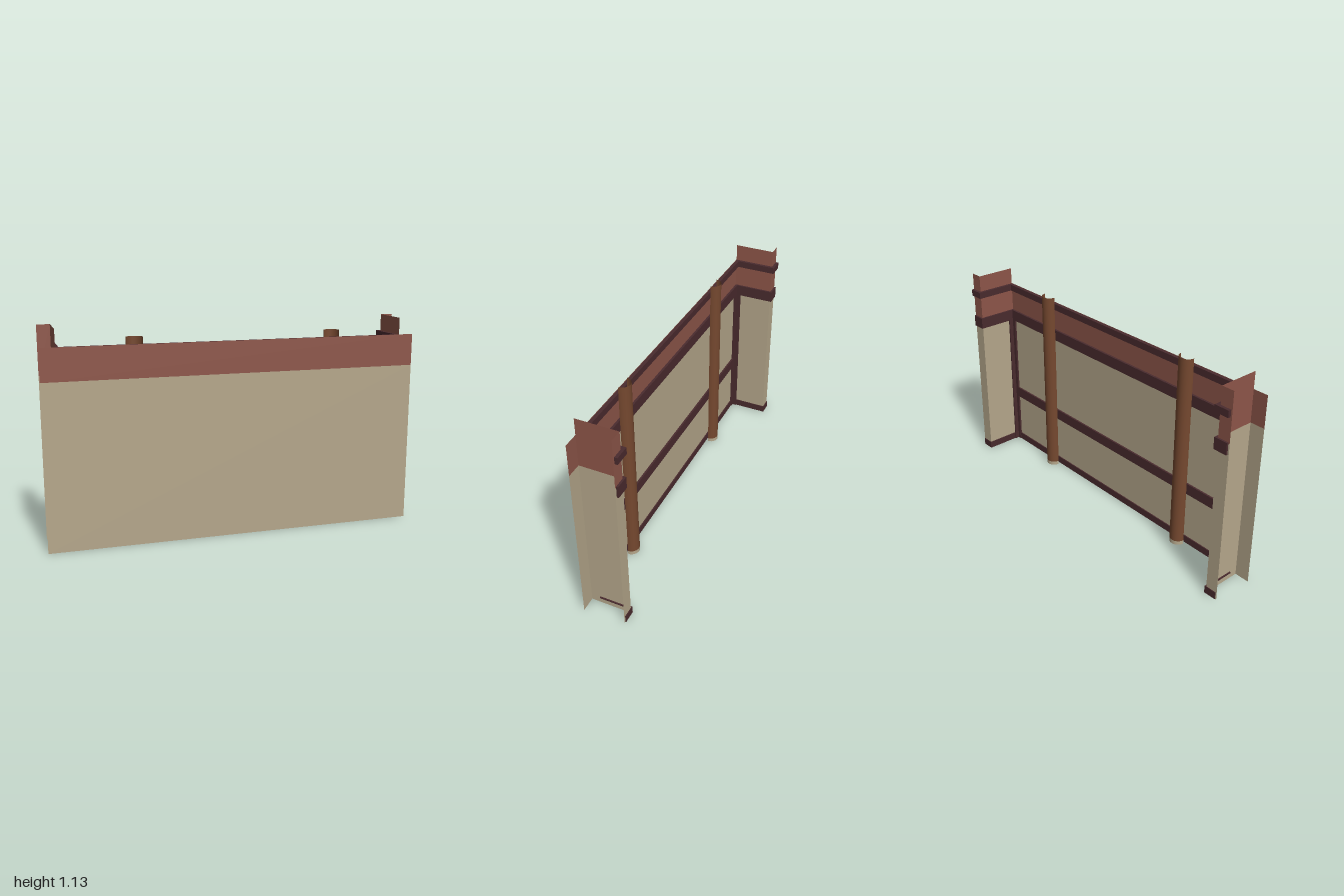
import * as THREE from 'three';

const mat = (name, color, side = THREE.FrontSide) => {
  const m = new THREE.MeshStandardMaterial({ color, side });
  m.name = name;
  return m;
};

export function createModel() {
  const root = new THREE.Group();
  root.name = 'wallPanel';
  const tan = mat('tan plaster', 0xb5a78b, THREE.DoubleSide);
  const red = mat('red band', 0x8e5649, THREE.DoubleSide);
  const dark = mat('dark trim', 0x4a2b2e);
  const brown = mat('brown pipe', 0x75482f, THREE.DoubleSide);

  const add = (name, geo, material, x, y, z, ry = 0) => {
    const m = new THREE.Mesh(geo, material);
    m.name = name;
    m.position.set(x, y, z);
    m.rotation.y = ry;
    root.add(m);
  };
  // box given by its limits on each axis
  const box = (name, x0, x1, y0, y1, z0, z1) =>
    add(name, new THREE.BoxGeometry(Math.abs(x1 - x0), y1 - y0, z1 - z0), dark,
      (x0 + x1) / 2, (y0 + y1) / 2, (z0 + z1) / 2);
  // thin sheet, tan below the paint line and red above it
  const SPLIT = 0.875;
  const sheet = (name, w, top, x, z, ry = 0) => {
    add(name + 'Lower', new THREE.PlaneGeometry(w, SPLIT), tan, x, SPLIT / 2, z, ry);
    add(name + 'Upper', new THREE.PlaneGeometry(w, top - SPLIT), red, x, (SPLIT + top) / 2, z, ry);
  };

  const F = 0.12, B = -0.1, W = 0.92, TOP = 1.135;
  sheet('frontWall', 2, 1.045, 0, F);

  // horizontal trims: [name, bottom, top, thickness, runs along the returns]
  const trims = [
    ['topTrim', 1.008, 1.044, 0.018, true],
    ['bandTrim', 0.82, 0.882, 0.012, true],
    ['middleTrim', 0.31, 0.37, 0.01, false],
    ['bottomTrim', 0.003, 0.043, 0.006, true],
  ];
  for (const [name, y0, y1, t] of trims) {
    box(name, -W + 0.002, W - 0.002, y0, y1, F - 0.002 - t, F - 0.002);
  }

  for (const s of [-1, 1]) {
    // side return and rear flange
    sheet('sideReturn', F - B, TOP, s * W, (F + B) / 2, s * Math.PI / 2);
    sheet('rearFlange', 0.068, TOP, s * (W + 0.034), B);

    for (const [name, y0, y1, t, returns] of trims) {
      if (!returns) continue;
      box(name + 'Side', s * (W - t), s * (W - 0.002), y0, y1, B - t, F - 0.004);
      box(name + 'Flange', s * (W - 0.003), s * 0.982, y0, y1, B - t, B - 0.002);
    }
    // corner post in two strips
    box('cornerPostFront', s * 0.89, s * (W - 0.002), 0.003, 0.88, F - 0.012, F - 0.002);
    box('cornerPostSide', s * (W - 0.01), s * (W - 0.002), 0.003, 0.88, 0.085, F - 0.003);
    // narrow lip outside the foot of the return
    box('footLip', s * (W + 0.001), s * (W + 0.008), 0.036, 0.042, B + 0.002, 0.07);

    // open half-round pipe with a bare foot
    const half = (y0, y1) => new THREE.CylinderGeometry(0.043, 0.043, y1 - y0, 12, 1, true, Math.PI / 2, Math.PI);
    add('pipe', half(0.022, 1.08), brown, s * 0.53, 0.551, 0.1);
    add('pipeFoot', half(0, 0.022), tan, s * 0.53, 0.011, 0.1);
  }
  return root;
}
